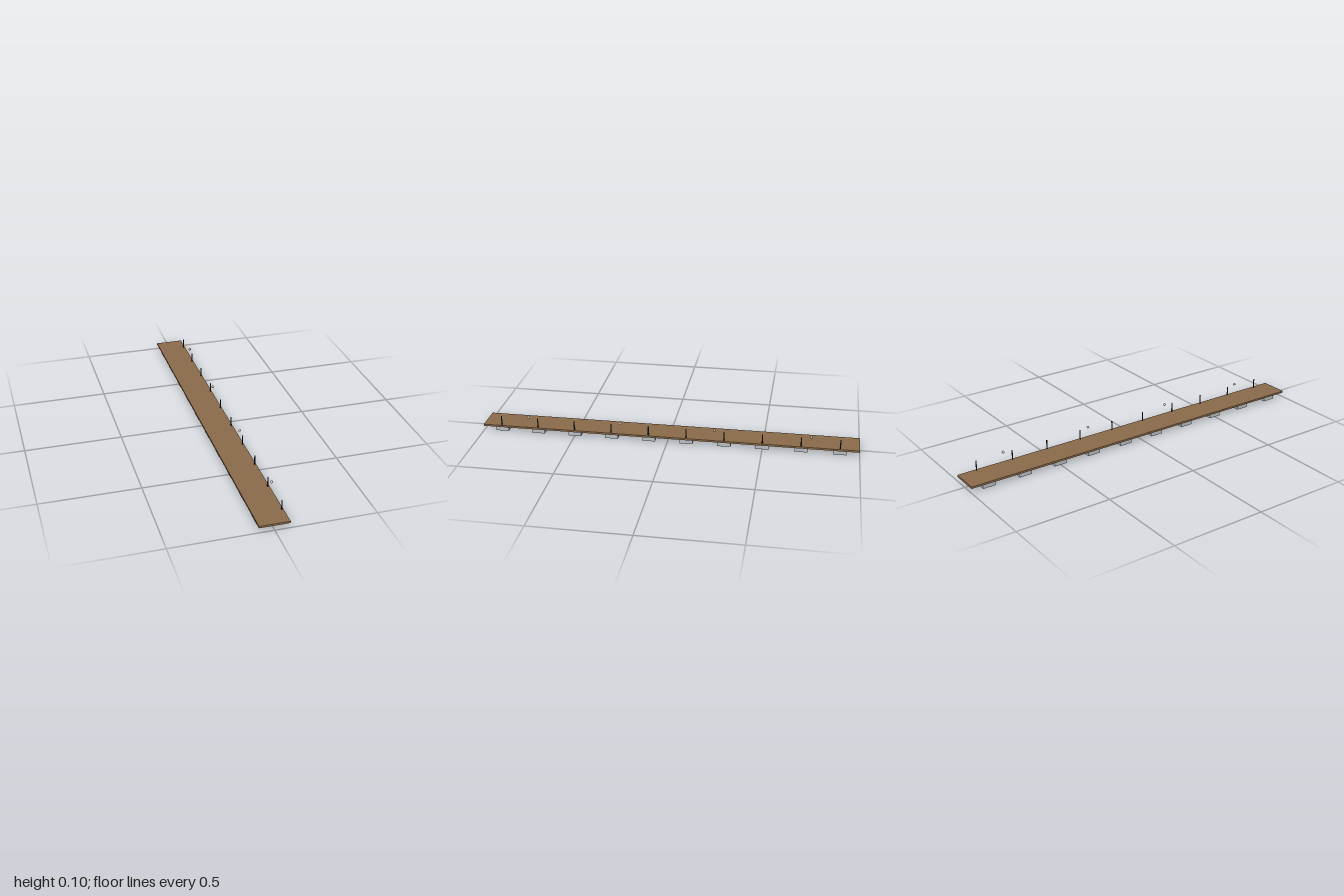
import * as THREE from 'three';

export function createModel() {
  const wood = new THREE.MeshStandardMaterial({ color: 0x8b6b4a });
  wood.name = 'wood';
  const grey = new THREE.MeshStandardMaterial({ color: 0xb8bcc0 });
  grey.name = 'float grey';
  const black = new THREE.MeshStandardMaterial({ color: 0x22282c });
  black.name = 'post black';
  const glow = new THREE.MeshStandardMaterial({ color: 0xd8ccb8 });
  glow.name = 'lamp cream';

  const model = new THREE.Group();
  model.name = 'floatingDock';
  const add = (name, geometry, material, x, y, z) => {
    const mesh = new THREE.Mesh(geometry, material);
    mesh.name = name;
    mesh.position.set(x, y, z);
    model.add(mesh);
  };

  // long walkway
  add('deck', new THREE.BoxGeometry(0.15, 0.01, 2), wood, 0, 0.03, 0);

  // floats below and railing posts along the left edge
  const floatGeometry = new THREE.BoxGeometry(0.13, 0.025, 0.07);
  const postGeometry = new THREE.CylinderGeometry(0.003, 0.003, 0.05, 8);
  for (let i = 0; i < 10; i++) {
    const z = -0.9 + i * 0.2;
    add('float', floatGeometry, grey, 0, 0.0125, z);
    add('railingPost', postGeometry, black, 0.067, 0.06, z);
  }

  // small globe lamps hovering in line with the posts
  const lampGeometry = new THREE.SphereGeometry(0.007, 12, 8);
  for (let i = 0; i < 4; i++) {
    add('lamp', lampGeometry, glow, 0.067, 0.09, -0.75 + i * 0.5);
  }
  return model;
}
